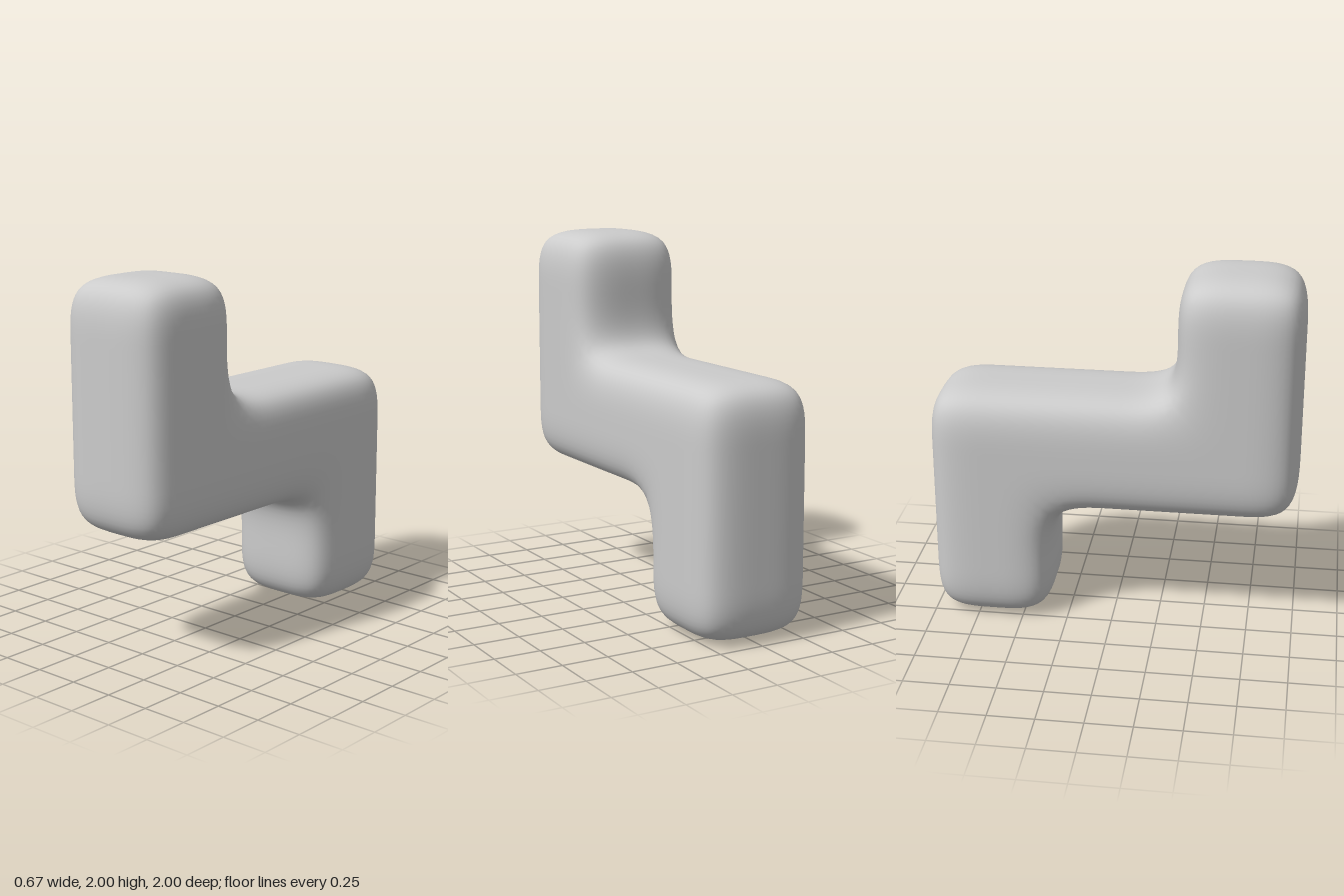
import * as THREE from 'three';

const CELL = 1 / 3; // cage spacing: every block is two cells wide

// Side layout, bottom row first; each row runs from back (-z) to front (+z)
const ROWS = ['X..', 'XXX', '..X'];

const filled = ([x, y, z]) =>
  x >= 0 && x < 2 && ROWS[Math.floor(y / 2)]?.[Math.floor(z / 2)] === 'X';

// Quad cage around all filled cells, with shared corners
function buildCage() {
  const points = [], faces = [], lookup = new Map();
  const corner = (c) => {
    const key = c.join();
    if (!lookup.has(key)) {
      lookup.set(key, points.length);
      points.push(new THREE.Vector3((c[0] - 1) * CELL, c[1] * CELL, (c[2] - 3) * CELL));
    }
    return lookup.get(key);
  };
  for (let x = 0; x < 2; x++) for (let y = 0; y < 6; y++) for (let z = 0; z < 6; z++) {
    const cell = [x, y, z];
    if (!filled(cell)) continue;
    for (let axis = 0; axis < 3; axis++) for (const dir of [-1, 1]) {
      const next = [...cell];
      next[axis] += dir;
      if (filled(next)) continue;
      const quad = [[0, 0], [1, 0], [1, 1], [0, 1]].map(([u, v]) => {
        const c = [...cell];
        if (dir > 0) c[axis] += 1;
        c[(axis + 1) % 3] += u;
        c[(axis + 2) % 3] += v;
        return corner(c);
      });
      faces.push(dir > 0 ? quad : quad.reverse());
    }
  }
  return { points, faces };
}

// One Catmull-Clark smoothing step on a closed quad mesh
function subdivide({ points, faces }) {
  const average = (list) =>
    list.reduce((sum, p) => sum.add(p), new THREE.Vector3()).divideScalar(list.length);
  const facePoints = faces.map((f) => average(f.map((i) => points[i])));
  const edges = new Map();
  const around = points.map(() => ({ faces: [], mids: [] }));
  const edgeKey = (a, b) => Math.min(a, b) * points.length + Math.max(a, b);

  faces.forEach((f, fi) => f.forEach((a, k) => {
    const b = f[(k + 1) % 4], key = edgeKey(a, b);
    around[a].faces.push(facePoints[fi]);
    if (!edges.has(key)) edges.set(key, { a, b, sides: [] });
    edges.get(key).sides.push(facePoints[fi]);
  }));

  const edgePoints = [];
  for (const e of edges.values()) {
    const mid = average([points[e.a], points[e.b]]);
    around[e.a].mids.push(mid);
    around[e.b].mids.push(mid);
    e.index = points.length + faces.length + edgePoints.length;
    edgePoints.push(average([points[e.a], points[e.b], ...e.sides]));
  }

  const moved = points.map((p, i) => {
    const n = around[i].faces.length;
    return average(around[i].faces)
      .addScaledVector(average(around[i].mids), 2)
      .addScaledVector(p, n - 3)
      .divideScalar(n);
  });

  const newFaces = faces.flatMap((f, fi) => f.map((v, k) => [
    v,
    edges.get(edgeKey(v, f[(k + 1) % 4])).index,
    points.length + fi,
    edges.get(edgeKey(v, f[(k + 3) % 4])).index,
  ]));
  return { points: [...moved, ...facePoints, ...edgePoints], faces: newFaces };
}

export function createModel() {
  const group = new THREE.Group();
  group.name = 'steppedBlock';

  let shape = buildCage();
  for (let level = 0; level < 3; level++) shape = subdivide(shape);

  const geometry = new THREE.BufferGeometry().setFromPoints(shape.points);
  geometry.setIndex(shape.faces.flatMap(([a, b, c, d]) => [a, b, c, a, c, d]));
  geometry.computeVertexNormals();

  // Rounded stepped body: raised front, level middle, lowered back
  const body = new THREE.Mesh(geometry, new THREE.MeshStandardMaterial({ color: 0xcccccc }));
  body.name = 'roundedBody';
  group.add(body);
  return group;
}
